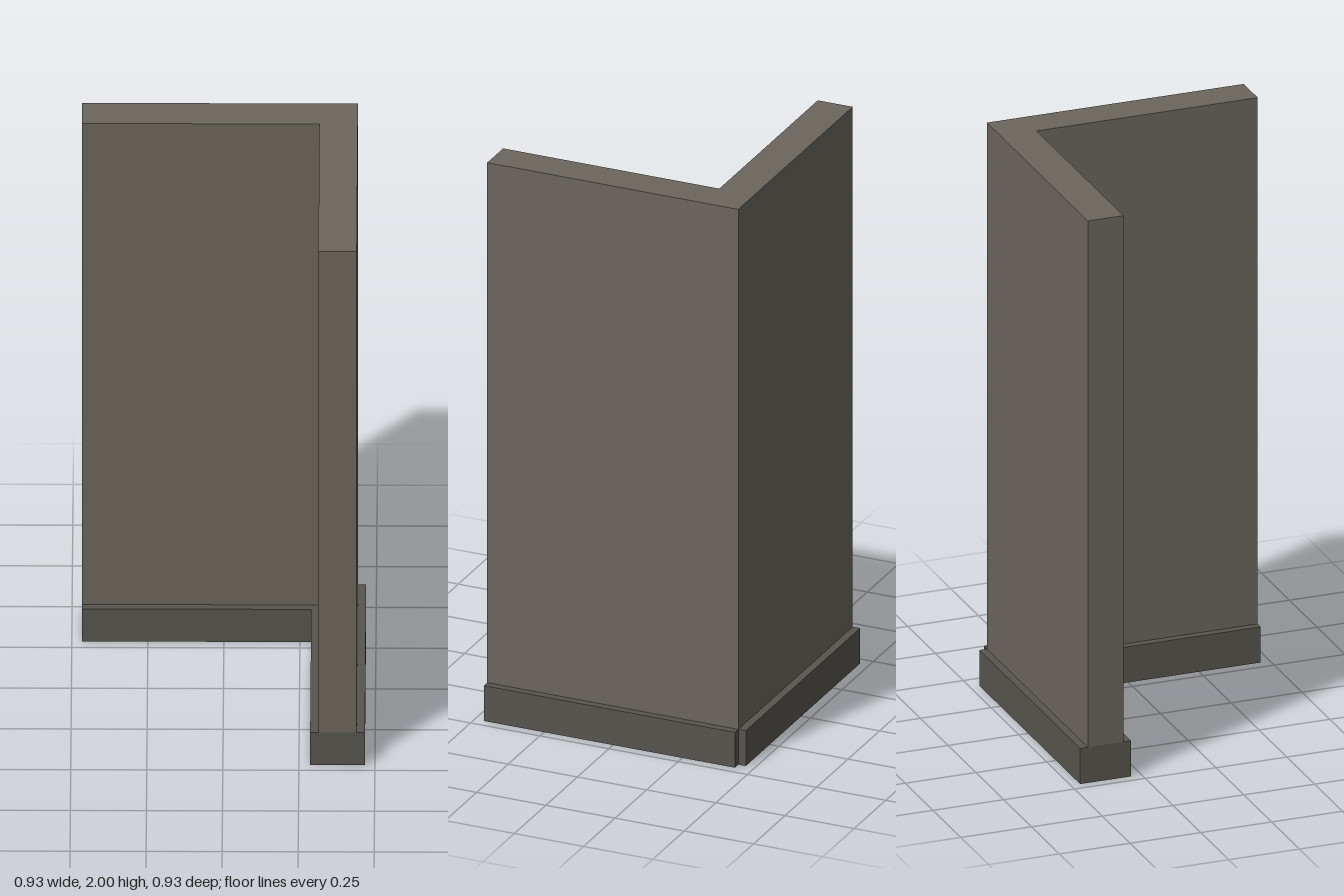
import * as THREE from 'three';

const END = 0.467;    // outer extent of the corner
const OUTER = 0.44;   // outer wall face
const INNER = 0.314;  // inner wall face
const TRIM = 0.027;   // how far the skirting stands out
const BASE_H = 0.127;
const HEIGHT = 2;

// Extrudes a floor plan, given as [x, z] corners, upward from y0 to y1
function extrudePlan(name, plan, y0, y1, color) {
  const shape = new THREE.Shape(plan.map(([x, z]) => new THREE.Vector2(x, -z)));
  const geometry = new THREE.ExtrudeGeometry(shape, { depth: y1 - y0, bevelEnabled: false });
  geometry.rotateX(-Math.PI / 2);
  geometry.translate(0, y0, 0);
  const mesh = new THREE.Mesh(geometry, new THREE.MeshStandardMaterial({ color }));
  mesh.name = name;
  return mesh;
}

export function createModel() {
  const group = new THREE.Group();
  group.name = 'wallCorner';

  // L-shaped wall: one leg along the back, one along the left side
  const wallPlan = [
    [-END, -OUTER], [OUTER, -OUTER], [OUTER, END],
    [INNER, END], [INNER, -INNER], [-END, -INNER],
  ];
  group.add(extrudePlan('wall', wallPlan, BASE_H, HEIGHT, 0x6b665d));

  // Skirting, wider on both sides, with a small notch at the outer corner
  const inner = INNER - TRIM;
  const basePlan = [
    [-END, -END], [OUTER, -END], [OUTER, -OUTER], [END, -OUTER],
    [END, END], [inner, END], [inner, -inner], [-END, -inner],
  ];
  group.add(extrudePlan('skirting', basePlan, 0, BASE_H, 0x57554e));

  return group;
}
